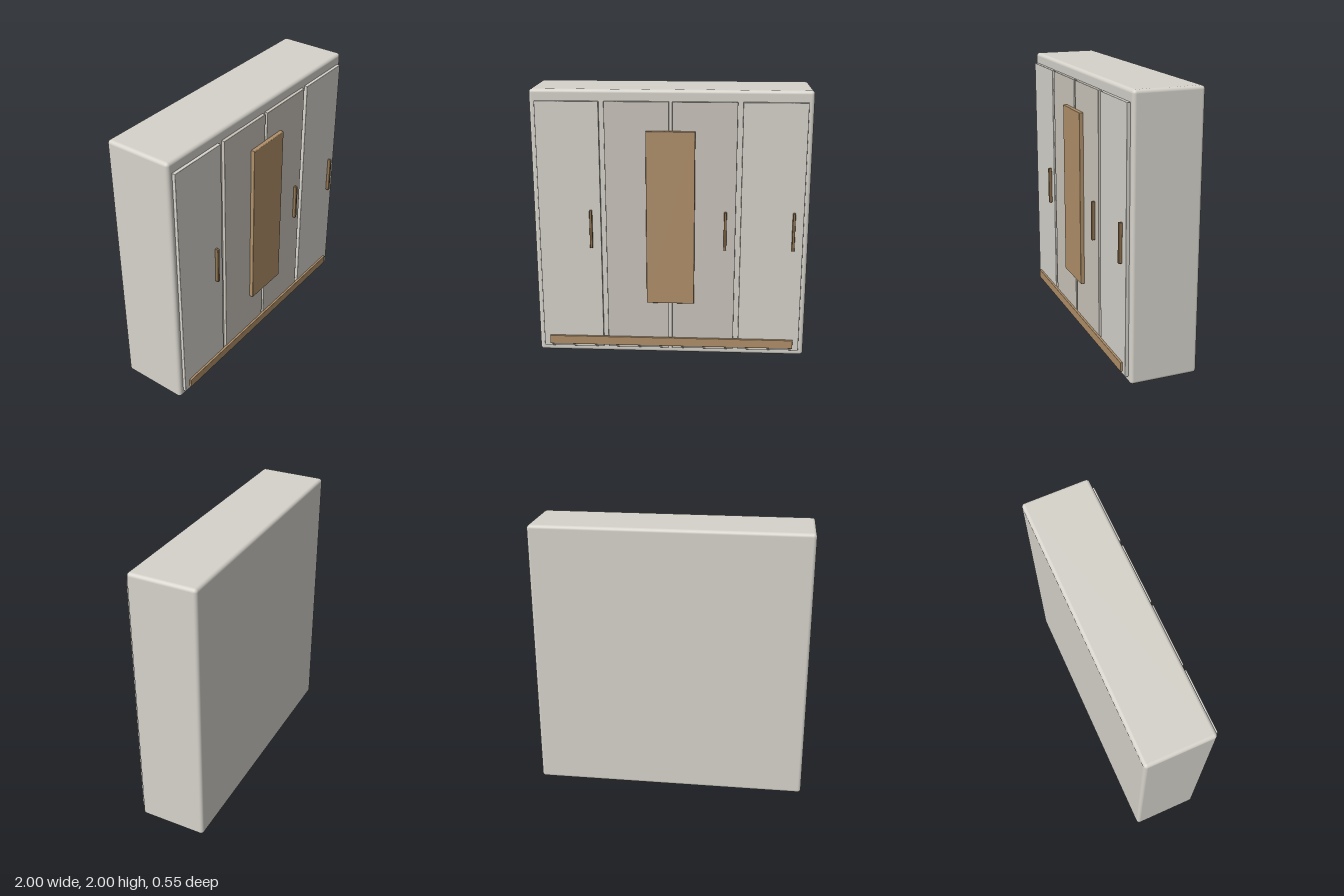
import * as THREE from 'three';
import { RoundedBoxGeometry } from 'three/addons/geometries/RoundedBoxGeometry.js';

const paint = (color) => new THREE.MeshStandardMaterial({ color });

export function createModel() {
  const group = new THREE.Group();
  const shell = paint(0xd6d3cb);
  const innerDoor = paint(0xcac5bc);
  const wood = paint(0xb0906a);
  const handleWood = paint(0x8f7350);

  // Rounded block given by its limits on each axis
  function block(name, [x0, x1], [y0, y1], [z0, z1], radius, material, segments = 2) {
    const geometry = new RoundedBoxGeometry(x1 - x0, y1 - y0, z1 - z0, segments, radius);
    const mesh = new THREE.Mesh(geometry, material);
    mesh.name = name;
    mesh.position.set((x0 + x1) / 2, (y0 + y1) / 2, (z0 + z1) / 2);
    group.add(mesh);
  }

  // Cabinet body
  block('cabinetBody', [-1, 1], [0, 2], [-0.275, 0.222], 0.025, shell, 4);

  // Four doors, each with a slim upright handle right of its centre
  const doors = [
    ['outerRightDoor', -0.96, -0.507, shell],
    ['innerRightDoor', -0.47, -0.012, innerDoor],
    ['innerLeftDoor', 0.012, 0.47, innerDoor],
    ['outerLeftDoor', 0.507, 0.96, shell],
  ];
  for (const [name, x0, x1, material] of doors) {
    block(name, [x0, x1], [0.05, 1.92], [0.21, 0.246], 0.003, material);
    const x = (x0 + x1) / 2 + 0.155;
    block(name + 'Handle', [x - 0.01, x + 0.01], [0.845, 1.13], [0.244, 0.271], 0.005, handleWood);
  }

  // Central wooden panel and the low rail across the doors
  block('centrePanel', [-0.175, 0.175], [0.425, 1.715], [0.24, 0.275], 0.005, wood);
  block('lowerRail', [-0.915, 0.915], [0.07, 0.137], [0.24, 0.262], 0.003, wood);

  return group;
}
